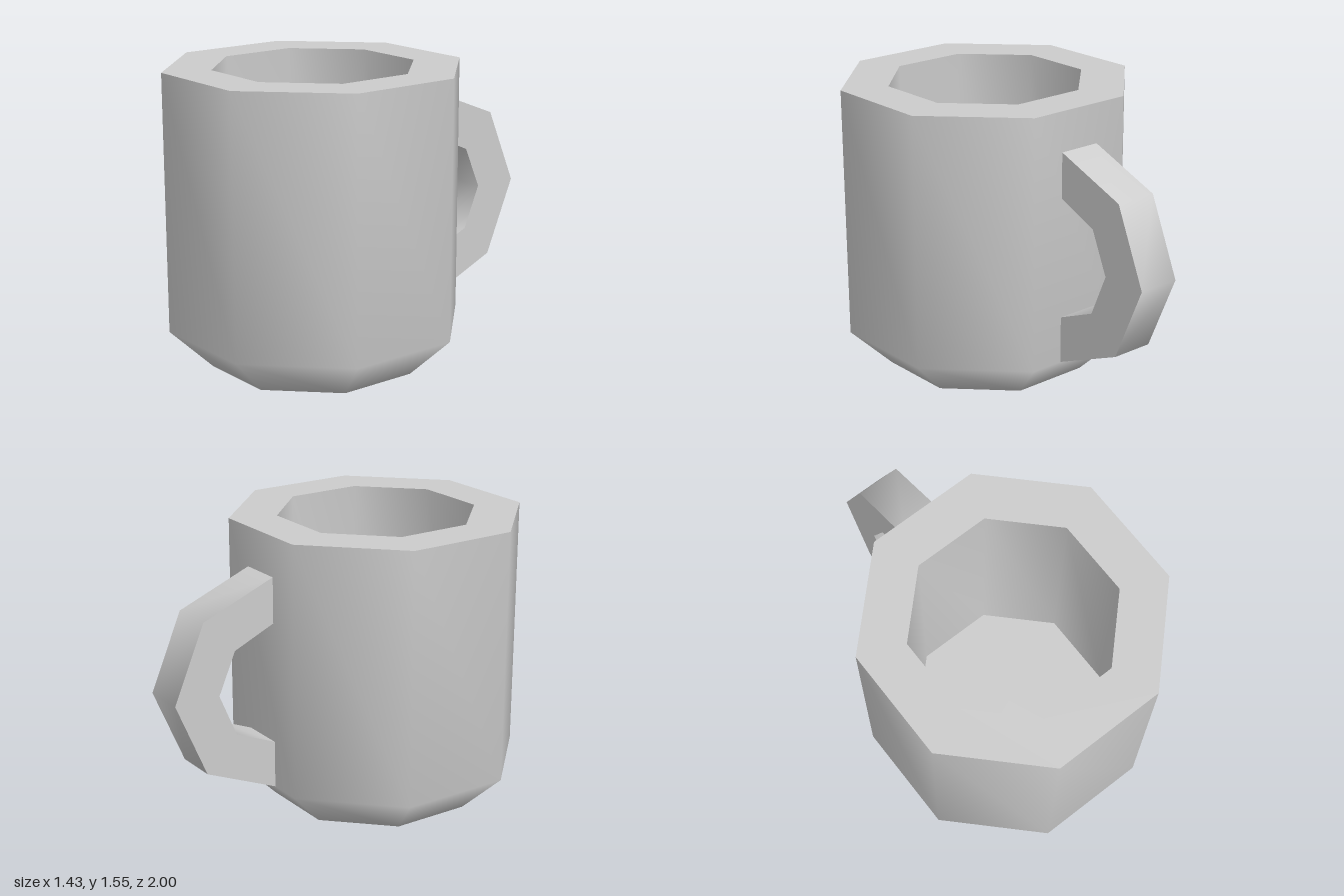
import * as THREE from 'three';
import { mergeVertices, toCreasedNormals } from 'three/addons/utils/BufferGeometryUtils.js';

const SIDES = 8;
const CORNER = 1 / Math.cos(Math.PI / SIDES); // flat-to-flat half width -> corner radius

// Eight-sided lathe with flats facing front, welded for soft shading within the profile
function octagonLathe(profile) {
  const points = profile.map(([r, y]) => new THREE.Vector2(r * CORNER, y));
  const geometry = new THREE.LatheGeometry(points, SIDES, Math.PI / SIDES);
  geometry.deleteAttribute('uv');
  geometry.deleteAttribute('normal');
  const welded = mergeVertices(geometry, 1e-4);
  welded.computeVertexNormals();
  return welded;
}

export function createModel() {
  const model = new THREE.Group();
  model.name = 'mug';
  const grey = new THREE.MeshStandardMaterial({ color: 0xcccccc });
  grey.name = 'plain grey';

  // Cup: separate surfaces keep the rim and floor edges sharp
  const cup = new THREE.Group();
  cup.name = 'cup';
  cup.position.z = 0.285;
  const surfaces = {
    outerWall: [[0, 0], [0.51, 0], [0.715, 0.21], [0.715, 1.55]],
    rim: [[0.715, 1.55], [0.485, 1.55]],
    innerWall: [[0.485, 1.55], [0.485, 0.21]],
    innerFloor: [[0.485, 0.21], [0, 0.21]],
  };
  for (const [name, profile] of Object.entries(surfaces)) {
    const mesh = new THREE.Mesh(octagonLathe(profile), grey);
    mesh.name = name;
    cup.add(mesh);
  }
  model.add(cup);

  // Handle: half an octagonal ring at the back, drawn as (distance back, height)
  const outline = [
    [0.43, 1.34], [0.83, 1.18], [1, 0.78], [0.83, 0.38], [0.43, 0.21],
    [0.43, 0.46], [0.655, 0.555], [0.75, 0.78], [0.655, 1.0], [0.43, 1.1],
  ];
  const width = 0.23;
  const shape = new THREE.Shape(outline.map(([b, y]) => new THREE.Vector2(b, y)));
  const bar = new THREE.ExtrudeGeometry(shape, { depth: width, bevelEnabled: false });
  bar.translate(0, 0, -width / 2);
  bar.rotateY(Math.PI / 2);
  const handle = new THREE.Mesh(toCreasedNormals(bar, Math.PI / 3), grey);
  handle.name = 'handle';
  model.add(handle);

  return model;
}
